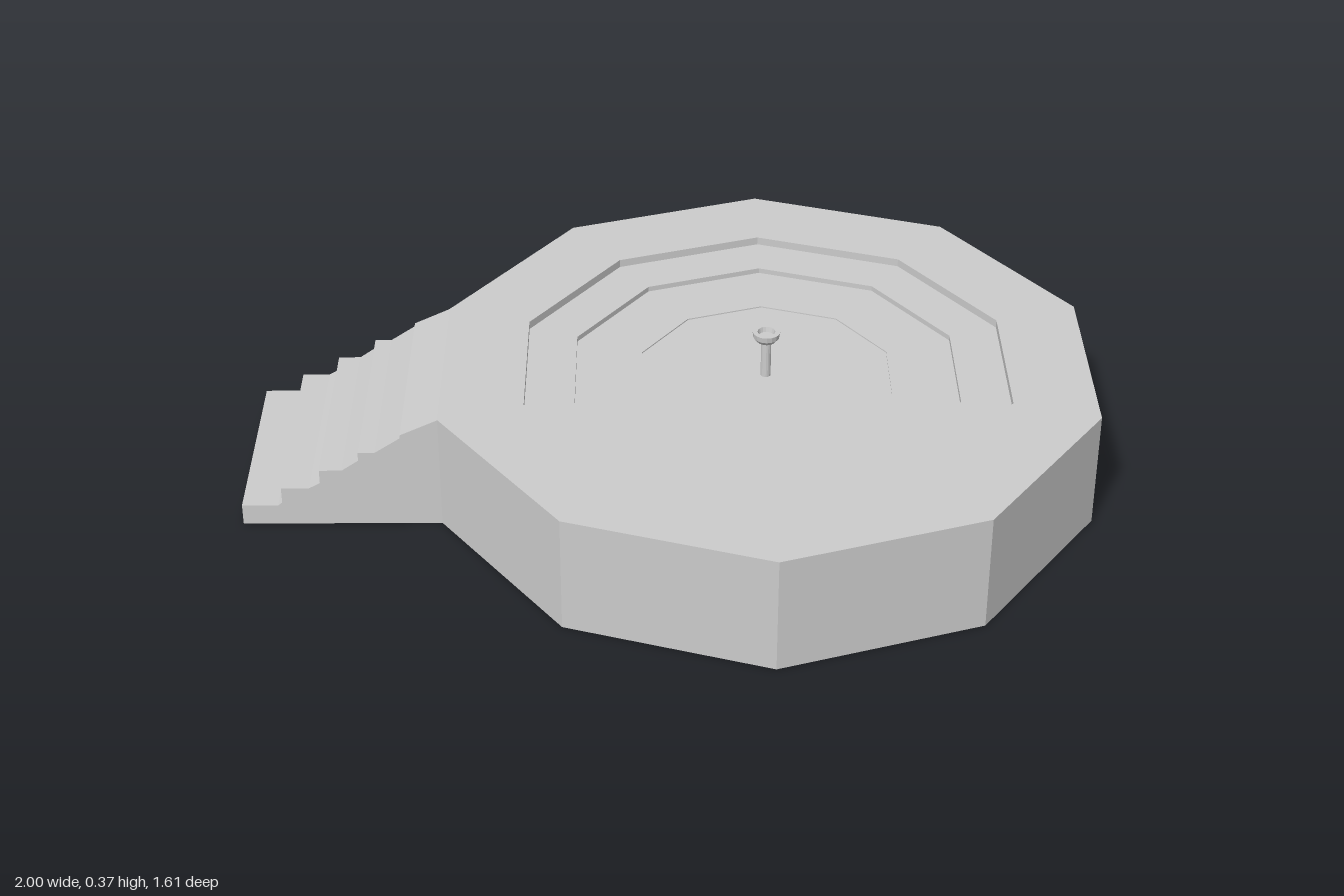
import * as THREE from 'three';

const material = new THREE.MeshStandardMaterial({ color: 0xcccccc, flatShading: true });
const CENTRE_X = 0.234;

// Faceted turned part around the platform's axis
function turned(name, profile, sides) {
  const points = profile.map(([r, y]) => new THREE.Vector2(r, y));
  const mesh = new THREE.Mesh(new THREE.LatheGeometry(points, sides), material);
  mesh.name = name;
  mesh.position.x = CENTRE_X;
  return mesh;
}

export function createModel() {
  const model = new THREE.Group();
  model.name = 'steppedPlatform';

  // Ten-sided platform: hollow underside, outer wall, rim and stepped basin
  model.add(turned('platform', [
    [0, 0.25], [0.39, 0.25], [0.4, 0.232], [0.475, 0.22], [0.6, 0.215], [0.6, 0],
    [0.805, 0], [0.805, 0.29],
    [0.598, 0.29], [0.598, 0.27], [0.475, 0.27], [0.475, 0.257],
    [0.31, 0.257], [0.31, 0.254], [0, 0.254],
  ], 10));

  // Staircase: side profile extruded across its width
  const profile = [
    [-1, 0], [-0.53, 0], [-0.53, 0.29],
    [-0.62, 0.248], [-0.62, 0.24], [-0.68, 0.2],
    [-0.72, 0.2], [-0.72, 0.178], [-0.76, 0.15],
    [-0.813, 0.15], [-0.813, 0.115], [-0.84, 0.1],
    [-0.905, 0.1], [-0.905, 0.06], [-0.915, 0.052], [-1, 0.052],
  ];
  const shape = new THREE.Shape(profile.map(([x, y]) => new THREE.Vector2(x, y)));
  const stairGeometry = new THREE.ExtrudeGeometry(shape, { depth: 0.498, bevelEnabled: false });
  stairGeometry.translate(0, 0, -0.249);
  const stairs = new THREE.Mesh(stairGeometry, material);
  stairs.name = 'stairs';
  model.add(stairs);

  // Central spout: slim stem opening into a small cup
  model.add(turned('spout', [
    [0, 0.25], [0.012, 0.25], [0.012, 0.345], [0.022, 0.349],
    [0.031, 0.36], [0.033, 0.374], [0.021, 0.374], [0.018, 0.362], [0, 0.362],
  ], 16));

  return model;
}
